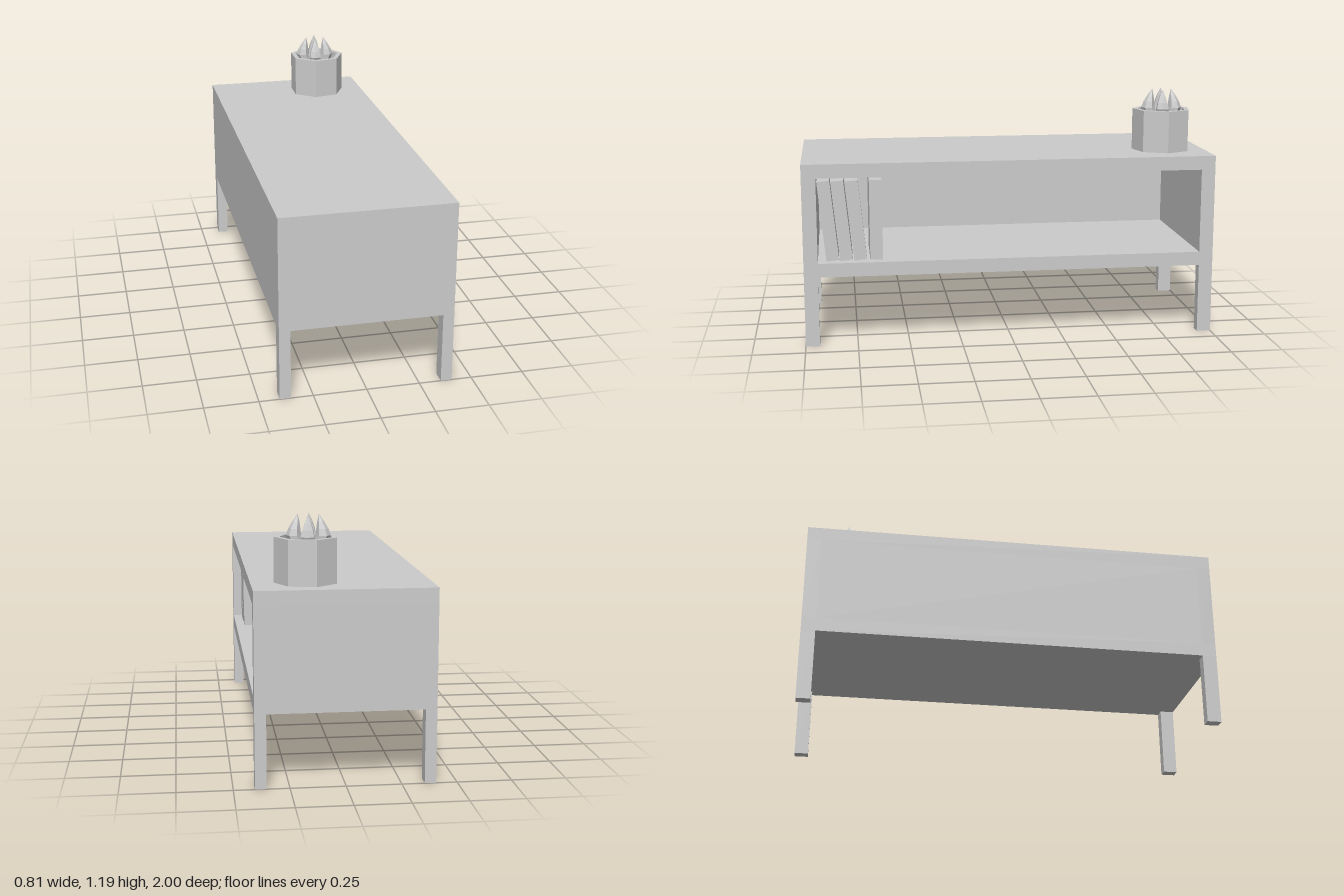
import * as THREE from 'three';

const grey = new THREE.MeshStandardMaterial({ color: 0xcccccc, flatShading: true, side: THREE.DoubleSide });

// Overall sizes of the unit
const W = 0.81, L = 2, TOP = 0.885, BASE = 0.34;
const BOARD = 0.067, POST_X = 0.052, POST_Z = 0.068;

function add(parent, name, geometry, x = 0, y = 0, z = 0) {
  const mesh = new THREE.Mesh(geometry, grey);
  mesh.name = name;
  mesh.position.set(x, y, z);
  parent.add(mesh);
  return mesh;
}

const box = (parent, name, w, h, d, x, y, z) =>
  add(parent, name, new THREE.BoxGeometry(w, h, d), x, y, z);

function lathe(points, sides) {
  return new THREE.LatheGeometry(points.map(([r, y]) => new THREE.Vector2(r, y)), sides, Math.PI / 2);
}

// Low case, open on the +x side
function createCabinet() {
  const g = new THREE.Group();
  g.name = 'cabinet';
  box(g, 'topBoard', W, BOARD, L, 0, TOP - BOARD / 2, 0);
  box(g, 'shelfBoard', W, BOARD, L, 0, BASE + BOARD / 2, 0);
  const innerH = TOP - BASE - 2 * BOARD, midY = (TOP + BASE) / 2;
  box(g, 'backPanel', POST_X, innerH, L - 2 * POST_Z, -W / 2 + POST_X / 2, midY, 0);
  for (const sz of [-1, 1]) {
    const z = sz * (L - POST_Z) / 2;
    box(g, 'endPanel', W, innerH, POST_Z, 0, midY, z);
    for (const sx of [-1, 1])
      box(g, 'leg', POST_X, BASE, POST_Z, sx * (W - POST_X) / 2, BASE / 2, z);
  }
  return g;
}

// Three books leaning on the end wall and one upright
function createBooks() {
  const g = new THREE.Group();
  g.name = 'books';
  for (const [z, tilt] of [[0.88, 0.097], [0.815, 0.097], [0.747, 0.097], [0.652, 0]]) {
    const book = box(g, 'book', 0.29, 0.388, 0.061, 0.215, 0.603, z);
    book.rotation.x = tilt;
  }
  return g;
}

// A faceted leaf that bulges outward and curls back to a pointed tip
function leafGeometry() {
  const rings = [[0.012, 0, 0.035], [0.03, 0.035, 0.055], [0.034, 0.07, 0.066], [0.027, 0.1, 0.062],
    [0.016, 0.13, 0.055], [0.006, 0.15, 0.05], [0, 0.165, 0.047]];
  const geometry = lathe(rings, 6);
  const p = geometry.attributes.position;
  for (let i = 0; i < p.count; i++) {
    const ring = rings[i % rings.length];
    p.setX(i, p.getX(i) + ring[2]);
  }
  geometry.computeVertexNormals();
  return geometry;
}

// Seven-sided pot with a rim, soil and four leaves
function createPlant() {
  const g = new THREE.Group();
  g.name = 'pottedPlant';
  g.position.set(0.155, TOP, -0.789);
  add(g, 'pot', lathe([[0, 0], [0.145, 0], [0.145, 0.205], [0.12, 0.205], [0.12, 0.14]], 7));
  add(g, 'soil', lathe([[0.12, 0.14], [0, 0.14]], 7));
  const leaf = leafGeometry();
  for (let i = 0; i < 4; i++) {
    const mesh = add(g, 'leaf', leaf, -0.01, 0.14, 0);
    mesh.rotation.y = i * Math.PI / 2 - 0.15;
  }
  return g;
}

export function createModel() {
  const model = new THREE.Group();
  model.name = 'lowShelf';
  model.add(createCabinet(), createBooks(), createPlant());
  return model;
}
